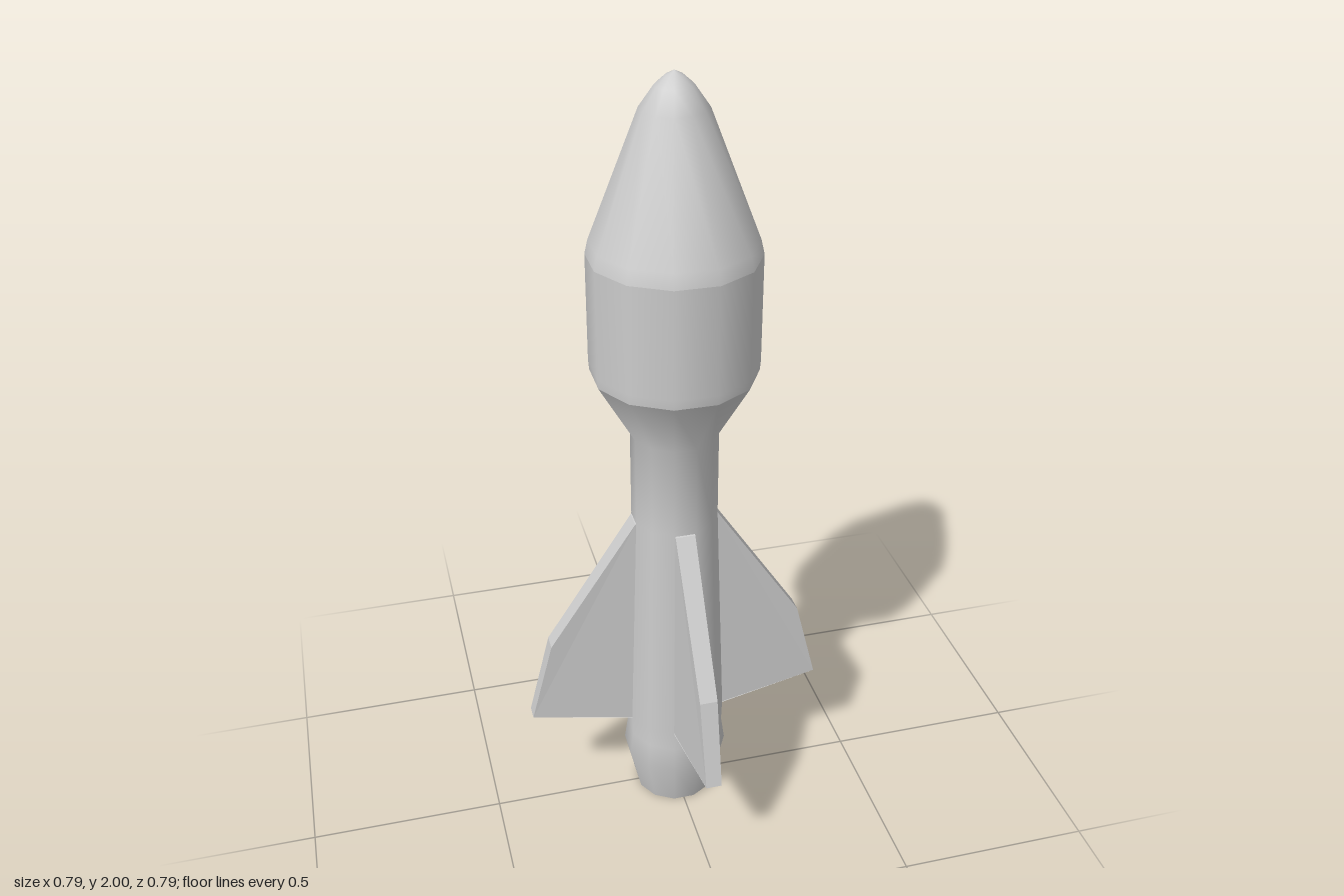
import * as THREE from 'three';

const hull = new THREE.MeshStandardMaterial({ color: 0xcccccc });
hull.name = 'hullGrey';

// Twelve-sided turned part, with flats facing x and z
function turned(name, profile) {
  const points = profile.map(([r, y]) => new THREE.Vector2(r, y));
  const mesh = new THREE.Mesh(new THREE.LatheGeometry(points, 12, Math.PI / 12), hull);
  mesh.name = name;
  return mesh;
}

// Swept fin, thickest at the lower root and thinner towards the tip
function finGeometry() {
  const outline = new THREE.Shape([
    [0.08, 0.252], [0.13, 0.26], [0.393, 0.305], [0.335, 0.53], [0.108, 0.875], [0.08, 0.9],
  ].map(([x, y]) => new THREE.Vector2(x, y)));
  const geometry = new THREE.ExtrudeGeometry(outline, { depth: 2, bevelEnabled: false });
  const pos = geometry.attributes.position;
  for (let i = 0; i < pos.count; i++) {
    const inward = Math.min((0.393 - pos.getX(i)) / 0.28, 1);
    const height = (pos.getY(i) - 0.26) / 0.62;
    const half = 0.02 + inward * (0.016 - 0.011 * height);
    pos.setZ(i, (pos.getZ(i) - 1) * half);
  }
  geometry.computeVertexNormals();
  return geometry;
}

export function createModel() {
  const rocket = new THREE.Group();
  rocket.name = 'rocket';

  // Nozzle mouth
  rocket.add(turned('exhaustRecess', [[0, 0.025], [0.078, 0.025], [0.09, 0]]));
  rocket.add(turned('nozzleRim', [[0.09, 0], [0.107, 0]]));

  // Nozzle, slim tube and flared shoulder
  rocket.add(turned('body', [
    [0.107, 0], [0.138, 0.135], [0.129, 0.2], [0.131, 0.26], [0.109, 0.88], [0.109, 1.12], [0.203, 1.285],
  ]));

  // Wide head and pointed nose
  rocket.add(turned('head', [[0.203, 1.285], [0.205, 1.31], [0.205, 1.58]]));
  rocket.add(turned('noseCone', [
    [0.205, 1.58], [0.197, 1.615], [0.079, 1.92], [0.045, 1.968], [0.02, 1.99], [0, 2],
  ]));

  // Four fins
  const fin = finGeometry();
  for (let i = 0; i < 4; i++) {
    const mesh = new THREE.Mesh(fin, hull);
    mesh.name = 'fin' + (i + 1);
    mesh.rotation.y = i * Math.PI / 2;
    rocket.add(mesh);
  }
  return rocket;
}
